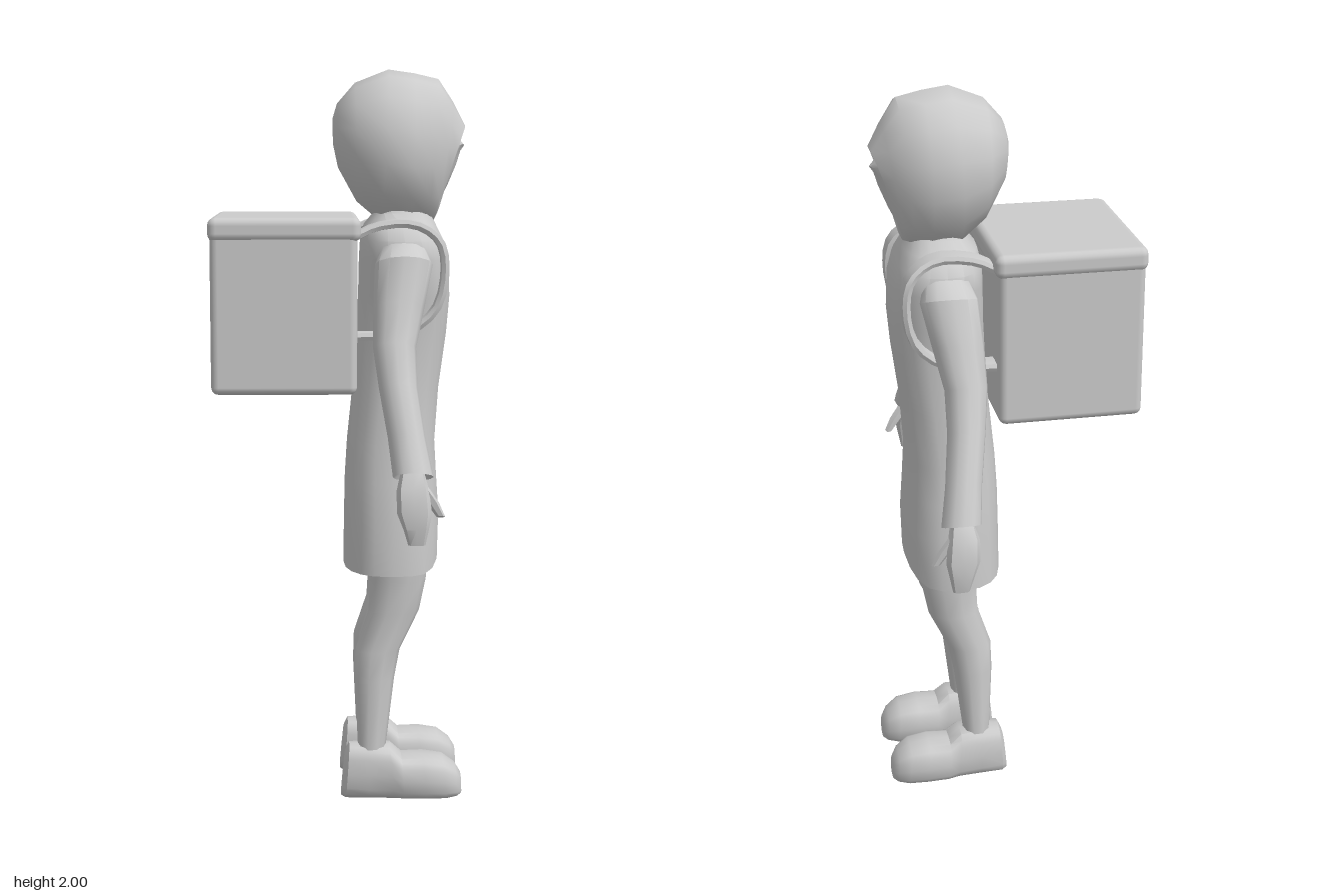
import * as THREE from 'three';
import { toCreasedNormals } from 'three/addons/utils/BufferGeometryUtils.js';
import { RoundedBoxGeometry } from 'three/addons/geometries/RoundedBoxGeometry.js';

const grey = new THREE.MeshStandardMaterial({ color: 0xcccccc, side: THREE.DoubleSide });
const V = (x, y, z) => new THREE.Vector3(x, y, z);

function mesh(name, geometry) {
  const m = new THREE.Mesh(geometry, grey);
  m.name = name;
  return m;
}

// Ring of n points round c, spanned by half axes u and v; power < 1 squares it off
function ring(c, u, v, n = 14, power = 1) {
  const bend = t => Math.sign(t) * Math.abs(t) ** power;
  return Array.from({ length: n }, (_, i) => {
    const a = (i / n) * Math.PI * 2;
    return c.clone().addScaledVector(u, bend(Math.cos(a))).addScaledVector(v, bend(Math.sin(a)));
  });
}

// Skin over rings, capped at both ends and wound outwards
function loft(rings, crease = 0.75) {
  const n = rings[0].length, pts = rings.flat(), idx = [];
  for (let r = 0; r < rings.length - 1; r++) {
    for (let i = 0; i < n; i++) {
      const a = r * n + i, b = r * n + (i + 1) % n;
      idx.push(a, b, b + n, a, b + n, a + n);
    }
  }
  [0, rings.length - 1].forEach((r, end) => {
    const mid = rings[r].reduce((s, p) => s.add(p), V(0, 0, 0)).divideScalar(n);
    pts.push(mid);
    for (let i = 0; i < n; i++) {
      const a = r * n + i, b = r * n + (i + 1) % n;
      idx.push(...(end ? [a, b, pts.length - 1] : [b, a, pts.length - 1]));
    }
  });
  let volume = 0;
  for (let i = 0; i < idx.length; i += 3) {
    volume += pts[idx[i]].dot(pts[idx[i + 1]].clone().cross(pts[idx[i + 2]]));
  }
  if (volume < 0) idx.reverse();
  const g = new THREE.BufferGeometry().setFromPoints(pts);
  g.setIndex(idx);
  return toCreasedNormals(g, crease);
}

// Ring in a tilted plane from a top point to a bottom point, half width w in z
const slice = (tx, ty, bx, by, w, z = 0, n = 14, power = 1) =>
  ring(V((tx + bx) / 2, (ty + by) / 2, z), V((tx - bx) / 2, (ty - by) / 2, 0), V(0, 0, w), n, power);

// Level ring from x0 to x1 at height y, half width w in z
const level = (y, x0, x1, w, z = 0, n = 14, power = 1) =>
  ring(V((x0 + x1) / 2, y, z), V((x1 - x0) / 2, 0, 0), V(0, 0, w), n, power);

function createHead() {
  const head = new THREE.Group();
  head.name = 'head';
  // Hood runs from the back of the head to a pointed opening that turns inwards
  const opening = (tx, ty, bx, by, w) => {
    const pts = slice(tx, ty, bx, by, w);
    const mid = (ty + by) / 2, half = (ty - by) / 2;
    pts.forEach(p => { if (p.y < mid) p.z *= 1 - 0.35 * (mid - p.y) / half; });
    pts.forEach(p => { p.y += 0.02 * (1 - ((p.y - mid) / half) ** 2); });
    return pts;
  };
  head.add(mesh('hood', loft([
    slice(-0.02, 1.87, -0.018, 1.8, 0.04),
    slice(-0.008, 1.91, -0.005, 1.74, 0.09),
    slice(0.04, 1.965, 0.045, 1.65, 0.145),
    slice(0.13, 2.0, 0.11, 1.595, 0.177),
    slice(0.2, 1.99, 0.19, 1.58, 0.167),
    slice(0.265, 1.975, 0.235, 1.59, 0.14),
    slice(0.305, 1.915, 0.255, 1.6, 0.112),
    opening(0.338, 1.852, 0.265, 1.62, 0.08),
    opening(0.322, 1.83, 0.262, 1.64, 0.07),
    opening(0.3, 1.81, 0.26, 1.65, 0.06),
  ], 0.85)));
  // Face with a slight ridge down the middle
  head.add(mesh('face', loft([
    opening(0.28, 1.84, 0.24, 1.635, 0.075),
    opening(0.312, 1.835, 0.262, 1.635, 0.068),
    opening(0.328, 1.81, 0.29, 1.69, 0.03),
    opening(0.336, 1.8, 0.315, 1.75, 0.01),
  ])));
  return head;
}

function createDress() {
  const rows = [
    [0.65, 0.01, 0.272, 0.195], [0.8, 0.012, 0.275, 0.19], [0.9, 0.014, 0.268, 0.18],
    [1.0, 0.02, 0.262, 0.17], [1.15, 0.035, 0.272, 0.162], [1.3, 0.045, 0.292, 0.16],
    [1.4, 0.05, 0.3, 0.17], [1.5, 0.052, 0.294, 0.19], [1.55, 0.055, 0.28, 0.188],
    [1.59, 0.065, 0.26, 0.15], [1.62, 0.09, 0.245, 0.1], [1.66, 0.1, 0.23, 0.085],
  ];
  const rings = rows.map(([y, a, b, w]) => level(y, a, b, w, 0, 20, 0.8));
  // Hem lifts in the middle of the front
  rings[0].forEach(p => { if (p.x > 0.2) p.y += 0.032 * Math.max(0, 1 - (p.z / 0.15) ** 2); });
  rings.unshift(level(0.7, 0.02, 0.262, 0.183, 0, 20, 0.8));
  return mesh('dress', loft(rings));
}

function createArm(s) {
  const arm = new THREE.Group();
  arm.name = s > 0 ? 'rightArm' : 'leftArm';
  // Rows: x, y, z of the centre, half depth in x, half thickness across the arm
  const limb = (rows, n, power) => loft(rows.map(([x, y, z, rx, rt, lean = 0.42]) =>
    ring(V(x, y, s * z), V(rx, 0, 0), V(0, rt * lean, s * rt), n, power)));
  arm.add(mesh('sleeve', limb([
    [0.165, 1.53, 0.15, 0.06, 0.04], [0.165, 1.49, 0.19, 0.076, 0.062],
    [0.15, 1.38, 0.232, 0.067, 0.052], [0.138, 1.28, 0.27, 0.056, 0.05],
    [0.146, 1.18, 0.316, 0.05, 0.05], [0.165, 1.06, 0.376, 0.048, 0.047],
    [0.18, 0.968, 0.422, 0.052, 0.042], [0.18, 0.985, 0.414, 0.035, 0.028],
  ], 12)));
  arm.add(mesh('hand', limb([
    [0.178, 0.98, 0.418, 0.03, 0.024], [0.178, 0.935, 0.446, 0.042, 0.026],
    [0.182, 0.88, 0.458, 0.044, 0.02, 0.2], [0.186, 0.84, 0.463, 0.032, 0.016, 0.1],
    [0.188, 0.8, 0.461, 0.022, 0.009, 0],
  ], 8, 0.8)));
  arm.add(mesh('thumb', limb([
    [0.2, 0.945, 0.44, 0.018, 0.014], [0.228, 0.905, 0.438, 0.017, 0.013],
    [0.25, 0.868, 0.436, 0.011, 0.009],
  ], 6)));
  return arm;
}

function createLeg(s) {
  const leg = new THREE.Group();
  leg.name = s > 0 ? 'rightLeg' : 'leftLeg';
  leg.add(mesh('shin', loft([
    [0.74, 0.085, 0.245, 0.066, 0.09], [0.62, 0.083, 0.236, 0.062, 0.088],
    [0.53, 0.078, 0.218, 0.055, 0.086], [0.42, 0.042, 0.165, 0.053, 0.09],
    [0.34, 0.04, 0.15, 0.05, 0.096], [0.13, 0.05, 0.125, 0.042, 0.106],
  ].map(([y, a, b, w, z]) => level(y, a, b, w, s * z, 10)))));
  // Shoe runs from heel to toe
  const z = s * 0.108, p = 0.62;
  leg.add(mesh('shoe', loft([
    slice(0.014, 0.13, 0.002, 0.005, 0.035, z, 16, p),
    slice(0.025, 0.152, 0.015, 0.0, 0.05, z, 16, p),
    slice(0.08, 0.153, 0.08, 0.0, 0.056, z, 16, p),
    slice(0.138, 0.15, 0.15, 0.0, 0.062, z, 16, p),
    slice(0.17, 0.12, 0.18, 0.0, 0.068, z, 16, p),
    slice(0.23, 0.122, 0.24, 0.0, 0.071, z, 16, p),
    slice(0.285, 0.114, 0.295, 0.0, 0.066, z, 16, p),
    slice(0.32, 0.09, 0.325, 0.004, 0.05, z, 16, p),
    slice(0.336, 0.065, 0.338, 0.01, 0.03, z, 16, p),
  ])));
  return leg;
}

function createBackpack() {
  const pack = new THREE.Group();
  pack.name = 'backpack';
  const box = (name, w, h, d, x, y, r) => {
    const b = mesh(name, new RoundedBoxGeometry(w, h, d, 2, r));
    b.position.set(x, y, 0);
    pack.add(b);
  };
  box('packBody', 0.385, 0.44, 0.466, -0.15, 1.37, 0.02);
  box('packLid', 0.4, 0.064, 0.478, -0.148, 1.583, 0.022);
  // Flat straps loop from the pack over the shoulder and back under the arm
  const path = new THREE.CatmullRomCurve3([
    V(0.03, 1.56, 0.17), V(0.1, 1.59, 0.16), V(0.2, 1.592, 0.155), V(0.26, 1.55, 0.165),
    V(0.275, 1.47, 0.165), V(0.25, 1.37, 0.163), V(0.17, 1.31, 0.16), V(0.03, 1.3, 0.165),
  ]);
  for (const s of [1, -1]) {
    const rings = path.getPoints(20).map((c, i) => {
      const t = path.getTangent(i / 20);
      const out = V(-t.y, t.x, 0).normalize();
      return ring(V(c.x, c.y, s * c.z), out.multiplyScalar(0.012), V(0, 0, 0.032), 8, 0.5);
    });
    pack.add(mesh('strap', loft(rings)));
  }
  return pack;
}

export function createModel() {
  const model = new THREE.Group();
  model.name = 'childWithBackpack';
  model.add(createHead(), createDress(), createBackpack());
  for (const s of [1, -1]) model.add(createArm(s), createLeg(s));
  return model;
}
